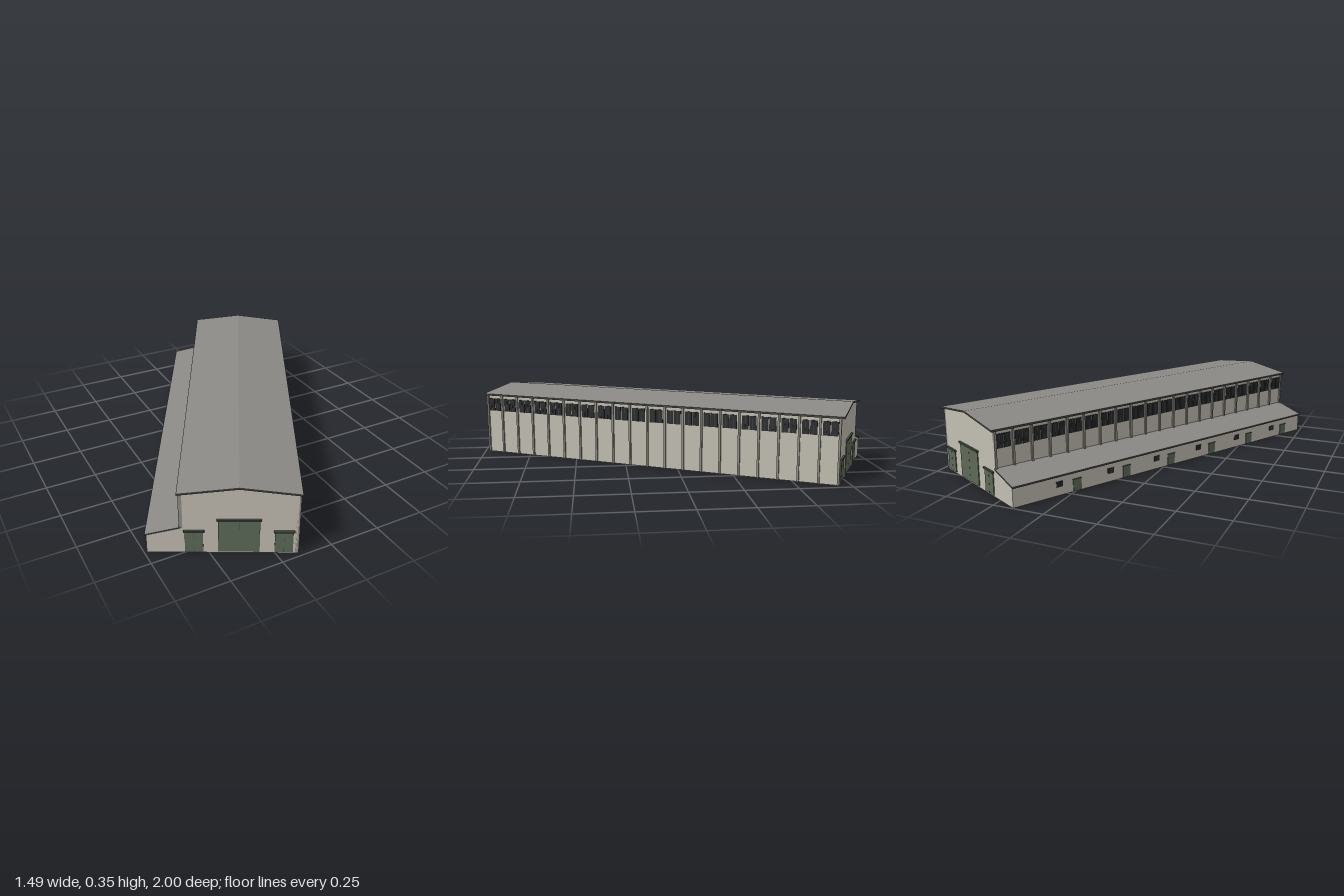
import * as THREE from 'three';

const mat = (name, hex) => {
  const m = new THREE.MeshStandardMaterial({ color: hex });
  m.name = name;
  return m;
};

export function createModel() {
  const wall = mat('wall plaster', 0xc2beb2);
  const pier = mat('pier concrete', 0x8f8c81);
  const roof = mat('roof sheet', 0x8b8986);
  const trim = mat('dark trim', 0x454643);
  const green = mat('door green', 0x5d6a58);
  const lintel = mat('lintel green', 0x464e45);
  const glass = mat('window glass', 0x27292a);

  const model = new THREE.Group();
  model.name = 'warehouse';
  const hall = new THREE.Group();
  hall.name = 'hall';
  hall.rotation.y = -THREE.MathUtils.degToRad(28.05);
  model.add(hall);

  const R = 0.313, L = -0.186, OUT = -0.335, RIDGE = 0.063; // wall lines across the hall
  const HALF = 0.945, MID = -0.005, BAYS = 20, BAY = 2 * HALF / BAYS;

  const box = (name, m, w, h, d, x, y, z, parent = hall) => {
    const b = new THREE.Mesh(new THREE.BoxGeometry(w, h, d), m);
    b.name = name;
    b.position.set(x, y, z);
    parent.add(b);
    return b;
  };
  // Profile in x,y swept along the hall
  const sweep = (name, m, points, half) => {
    const shape = new THREE.Shape(points.map(([x, y]) => new THREE.Vector2(x, y)));
    const mesh = new THREE.Mesh(new THREE.ExtrudeGeometry(shape, { depth: 2 * half, bevelEnabled: false }), m);
    mesh.name = name;
    mesh.position.z = MID - half;
    hall.add(mesh);
  };

  // Walls of the main hall and its lean-to
  sweep('walls', wall, [[OUT, 0], [R, 0], [R, 0.312], [RIDGE, 0.343], [L, 0.312], [L, 0.131], [OUT, 0.093]], HALF);

  // Roofs, with dark verges
  sweep('mainRoof', [trim, roof], [[0.325, 0.31], [0.325, 0.318], [RIDGE, 0.35], [-0.198, 0.318], [-0.198, 0.31], [RIDGE, 0.342]], 0.96);
  sweep('leanToRoof', [trim, roof], [[-0.341, 0.091], [L, 0.131], [L, 0.138], [-0.341, 0.098]], 0.948);

  // Eave fascias
  box('rightFascia', trim, 0.003, 0.009, 1.92, 0.3245, 0.3135, MID);
  box('leftFascia', trim, 0.003, 0.009, 1.92, -0.1975, 0.3135, MID);
  box('leanToFascia', trim, 0.003, 0.008, 1.896, -0.3405, 0.094, MID);

  // Long sides: piers between bays, a paired window in each bay
  for (const [side, x, s, base] of [['right', R, 1, 0], ['left', L, -1, 0.131]]) {
    for (let i = 0; i <= BAYS; i++) {
      const z = MID - HALF + i * BAY;
      const inset = i === 0 ? 0.005 : i === BAYS ? -0.005 : 0;
      box(side + 'Pier', pier, 0.016, 0.311 - base, 0.01, x, (0.311 + base) / 2, z + inset);
      if (i === BAYS) continue;
      const win = new THREE.Group();
      win.name = side + 'Window';
      win.position.set(x + s * 0.001, 0.26, z + BAY / 2);
      hall.add(win);
      for (const k of [-1, 1]) {
        box('pane', glass, 0.006, 0.066, 0.033, 0, 0, k * 0.0185, win);
        box('glazingBar', trim, 0.008, 0.066, 0.0015, 0, 0, k * 0.0185, win);
      }
    }
  }

  // Gable ends: one large double door between two smaller ones
  for (const end of [1, -1]) {
    const face = MID + end * HALF;
    for (const [name, dx, w, top] of [['mainDoor', 0, 0.18, 0.174], ['sideDoor', -0.193, 0.08, 0.114], ['sideDoor', 0.193, 0.08, 0.114]]) {
      const door = new THREE.Group();
      door.name = name;
      door.position.set(RIDGE + dx, 0, face);
      hall.add(door);
      for (const k of [-1, 1])
        box('leaf', green, w / 2 - 0.001, top - 0.008, 0.008, k * w / 4, (top + 0.008) / 2, 0, door);
      box('seam', lintel, 0.002, top - 0.008, 0.007, 0, (top + 0.008) / 2, 0, door);
      box('lintel', lintel, w + 0.01, 0.008, 0.018, 0, top + 0.003, 0, door);
    }
  }

  // Lean-to side: a small window and a door in every third bay
  for (let i = 0; i < 6; i++) {
    const z = MID - HALF + (2.5 + 3 * i) * BAY;
    box('leanToWindow', glass, 0.006, 0.026, 0.034, OUT, 0.054, z);
    box('leanToWindowBar', trim, 0.008, 0.026, 0.0015, OUT, 0.054, z);
    box('leanToDoor', green, 0.007, 0.054, 0.044, OUT, 0.03, z + BAY);
    box('leanToDoorLintel', lintel, 0.01, 0.004, 0.048, OUT, 0.059, z + BAY);
  }
  return model;
}
